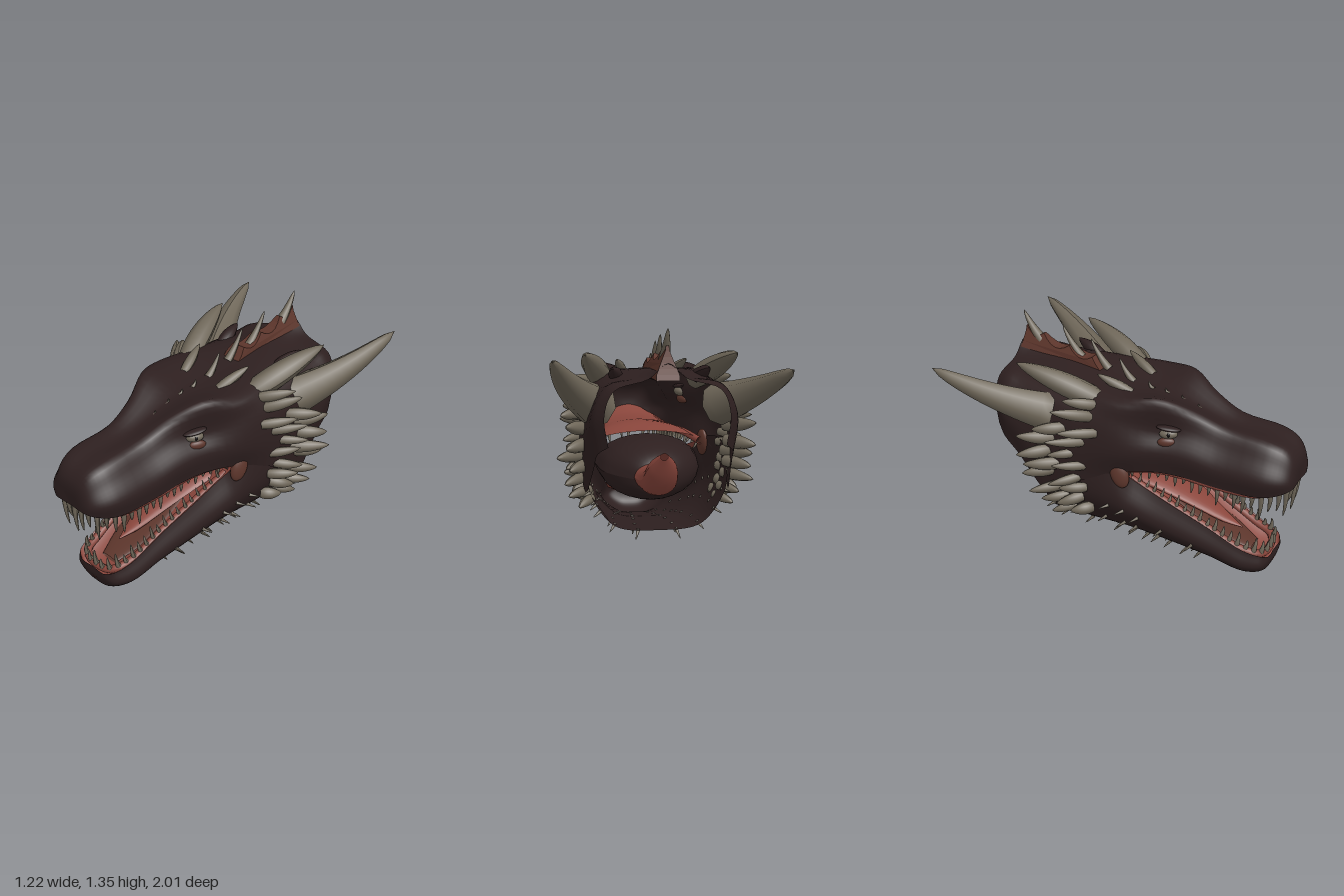
import * as THREE from 'three';

const V = (x, y, z) => new THREE.Vector3(x, y, z);
const mat = (name, color) => new THREE.MeshStandardMaterial({ name, color, side: THREE.DoubleSide });

// Half sections: z, then x,y pairs from the centre line out to the lip
const SKULL = [
  [1.0, 0, 0.78, 0.08, 0.77, 0.12, 0.72, 0.14, 0.68, 0.13, 0.64],
  [0.95, 0, 0.85, 0.11, 0.845, 0.16, 0.77, 0.2, 0.69, 0.18, 0.62],
  [0.85, 0, 0.885, 0.13, 0.885, 0.19, 0.8, 0.24, 0.7, 0.22, 0.6],
  [0.6, 0, 0.9, 0.13, 0.92, 0.19, 0.83, 0.25, 0.72, 0.24, 0.61],
  [0.42, 0, 0.95, 0.17, 0.995, 0.21, 0.88, 0.27, 0.76, 0.25, 0.63],
  [0.25, 0, 1.0, 0.26, 1.065, 0.255, 0.88, 0.3, 0.77, 0.28, 0.64],
  [0.05, 0, 1.02, 0.325, 1.05, 0.36, 0.93, 0.38, 0.75, 0.34, 0.62],
  [-0.2, 0, 1.08, 0.27, 1.065, 0.38, 0.96, 0.42, 0.74, 0.41, 0.53],
  [-0.4, 0, 1.11, 0.2, 1.085, 0.36, 0.99, 0.41, 0.74, 0.4, 0.42],
  [-0.6, 0, 1.13, 0.14, 1.085, 0.32, 1.03, 0.4, 0.83, 0.37, 0.6],
  [-0.7, 0, 1.15, 0.11, 1.09, 0.3, 1.05, 0.38, 0.9, 0.36, 0.69],
  [-0.77, 0, 1.17, 0.1, 1.09, 0.28, 1.03, 0.33, 0.9, 0.31, 0.74],
];
const JAW = [
  [0.88, 0, 0.1, 0.05, 0.1, 0.11, 0.13, 0.1, 0.16],
  [0.85, 0, 0.04, 0.08, 0.05, 0.16, 0.11, 0.15, 0.18],
  [0.75, 0, 0.005, 0.09, 0.02, 0.2, 0.11, 0.18, 0.21],
  [0.55, 0, 0.06, 0.11, 0.07, 0.23, 0.18, 0.2, 0.31],
  [0.3, 0, 0.11, 0.15, 0.13, 0.28, 0.27, 0.24, 0.44],
  [0.12, 0, 0.145, 0.18, 0.17, 0.33, 0.36, 0.28, 0.55],
  [0.03, 0, 0.16, 0.2, 0.19, 0.36, 0.4, 0.34, 0.64],
  [-0.2, 0, 0.18, 0.24, 0.22, 0.38, 0.42, 0.4, 0.66],
  [-0.43, 0, 0.2, 0.24, 0.23, 0.37, 0.4, 0.39, 0.5],
];
const lip = (s) => [s[s.length - 2], s[s.length - 1]];

// Mirror a half section; dir 1 runs +x to -x
function section(s, dir) {
  const half = [];
  for (let i = 1; i < s.length; i += 2) half.push(V(dir * s[i], s[i + 1], s[0]));
  const other = half.slice(1).map((p) => V(-p.x, p.y, p.z));
  return [...half.reverse(), ...other];
}

// Smooth surface through rows of points: at(u) gives the cross curve
function surface(rows) {
  const cols = rows[0].map((_, j) => new THREE.CatmullRomCurve3(rows.map((r) => r[j])));
  return (u) => new THREE.CatmullRomCurve3(cols.map((c) => c.getPoint(u)));
}

function loft(at, nu = 48, nv = 40) {
  const pos = [], idx = [];
  for (let i = 0; i <= nu; i++) {
    for (const p of at(i / nu).getPoints(nv)) pos.push(p.x, p.y, p.z);
    for (let j = 0; i < nu && j < nv; j++) {
      const a = i * (nv + 1) + j, b = a + nv + 1;
      idx.push(a, b, a + 1, a + 1, b, b + 1);
    }
  }
  const g = new THREE.BufferGeometry();
  g.setAttribute('position', new THREE.Float32BufferAttribute(pos, 3));
  g.setIndex(idx);
  g.computeVertexNormals();
  return g;
}

// Body of elliptical rings: each ring is z, y, half width, half height
function ringLoft(rings) {
  return loft(surface(rings.map(([z, y, w, h]) => Array.from({ length: 13 }, (_, k) => {
    const a = (k / 12) * Math.PI * 2;
    return V(w * Math.cos(a), y + h * Math.sin(a), z);
  }))), 24, 24);
}

// Tapered, bent horn with a rounded tip; leaf makes it swell in the middle
function hornGeometry(base, tip, r, bend = V(0, 0, 0), leaf = false) {
  const mid = base.clone().lerp(tip, 0.5).add(bend);
  const curve = new THREE.QuadraticBezierCurve3(base, mid, tip);
  const n = 12, sides = 8, g = new THREE.TubeGeometry(curve, n, r, sides);
  const p = g.attributes.position, v = V(0, 0, 0);
  for (let i = 0; i <= n; i++) {
    const t = i / n, c = curve.getPointAt(t);
    const k = leaf ? Math.max(0, Math.sin(Math.PI * (0.28 + 0.72 * t))) ** 0.7
      : Math.sqrt(1 - t ** 10) * (1 - 0.78 * t);
    for (let j = 0; j <= sides; j++) {
      const q = i * (sides + 1) + j;
      v.fromBufferAttribute(p, q).sub(c).multiplyScalar(k).add(c);
      p.setXYZ(q, v.x, v.y, v.z);
    }
  }
  g.computeVertexNormals();
  return g;
}

export function createModel() {
  const root = new THREE.Group();
  root.name = 'dragonHead';
  const hide = mat('darkHide', 0x2d1f1f), horn = mat('horn', 0x6e6658);
  const flesh = mat('flesh', 0x8a463c), patch = mat('rustSkin', 0x5c352b), dark = mat('pupil', 0x0e0b0b);
  const add = (name, geo, m, parent = root) => {
    const mesh = new THREE.Mesh(geo, m);
    mesh.name = name;
    parent.add(mesh);
    return mesh;
  };
  const group = (name) => {
    const g = new THREE.Group();
    g.name = name;
    root.add(g);
    return g;
  };

  // Skull and lower jaw shells, closed at the nose and chin, open at the neck
  const shell = (st, dir) => {
    const rows = st.map((s) => section(s, dir));
    rows.unshift(rows[0].map(() => V(0, lip(st[0])[1], st[0][0])));
    return surface(rows);
  };
  const jawAt = shell(JAW, -1);
  add('skull', loft(shell(SKULL, 1)), hide);
  add('lowerJaw', loft(jawAt), hide);

  // Mouth lining, dark gullet and tongue with its root showing at the neck
  const lining = (st, rise) => loft(surface(st.filter((s) => s[0] > 0).map((s) => {
    const [x, y] = lip(s);
    return [V(x, y, s[0]), V(x * 0.7, y + rise * 0.6, s[0]), V(0, y + rise, s[0]),
      V(-x * 0.7, y + rise * 0.6, s[0]), V(-x, y, s[0])];
  })), 24, 16);
  add('palate', lining(SKULL, 0.06), flesh);
  add('mouthFloor', lining(JAW, -0.07), flesh);
  add('mouthBed', ringLoft([[0.76, 0.155, 0.06, 0.012], [0.6, 0.23, 0.11, 0.012], [0.4, 0.335, 0.12, 0.012],
    [0.2, 0.445, 0.1, 0.01]]), patch);
  add('gullet', ringLoft([[0.08, 0.49, 0.31, 0.17], [-0.15, 0.48, 0.27, 0.17], [-0.32, 0.47, 0.12, 0.1],
    [-0.36, 0.47, 0.01, 0.01]]), hide);
  add('tongue', ringLoft([[0.68, 0.25, 0.004, 0.004], [0.58, 0.285, 0.045, 0.02], [0.4, 0.375, 0.105, 0.03],
    [0.15, 0.49, 0.185, 0.04], [-0.15, 0.51, 0.18, 0.05], [-0.32, 0.48, 0.12, 0.08], [-0.48, 0.5, 0.1, 0.09],
    [-0.58, 0.58, 0.08, 0.07], [-0.65, 0.66, 0.02, 0.02]]), flesh);

  // Gums follow the lips and carry the teeth
  const gumCurve = (st) => {
    const side = st.filter((s) => s[0] > 0.1 || (st === SKULL && s[0] > 0))
      .map((s) => V(lip(s)[0] - 0.025, lip(s)[1], s[0] - 0.04));
    return new THREE.CatmullRomCurve3([...side.slice().reverse(), ...side.map((p) => V(-p.x, p.y, p.z))]);
  };
  const jaws = [['upper', SKULL, 44, -1, 0.045, 0.145], ['lower', JAW, 38, 1, 0.05, 0.04]];
  for (const [name, st, n, dir, short, extra] of jaws) {
    const curve = gumCurve(st), teeth = group(name + 'Teeth');
    add(name + 'Gum', new THREE.TubeGeometry(curve, 60, 0.023, 8), flesh);
    for (let i = 1; i < n; i++) {
      const u = i / n, front = 1 - Math.abs(2 * u - 1);
      const len = (short + extra * front ** 1.3) * (0.85 + 0.25 * Math.sin(i * 2.4));
      const p = curve.getPointAt(u);
      const tip = p.clone().add(V(-p.x * 0.08, dir * (len + 0.015), dir > 0 ? 0.015 : -0.015));
      add('tooth', hornGeometry(p, tip, 0.012 + 0.008 * front, V(p.x * 0.08, 0, 0.015)), horn, teeth);
    }
  }

  // Parts mirrored on both sides
  const cheeks = group('cheekSpikes'), chin = group('chinSpikes'), horns = group('horns'), eyes = group('eyes');
  const CHEEK = [ // y, z, length
    [1.0, -0.1, 0.18], [0.94, -0.11, 0.2], [0.86, -0.07, 0.2], [0.85, -0.27, 0.18], [0.79, -0.14, 0.2],
    [0.77, -0.34, 0.2], [0.71, -0.2, 0.16], [0.69, -0.37, 0.17], [0.64, -0.14, 0.18], [0.62, -0.3, 0.21],
    [0.56, -0.18, 0.16], [0.57, -0.35, 0.17], [0.5, -0.14, 0.15], [0.49, -0.28, 0.18], [0.43, -0.17, 0.14],
    [0.41, -0.27, 0.15], [0.36, -0.12, 0.11], [0.35, -0.23, 0.13],
  ];
  for (const s of [1, -1]) {
    // Crown horns
    add('greatHorn', hornGeometry(V(s * 0.335, 0.9, -0.4), V(s * 0.6, 1.185 + s * 0.03, -0.985 + s * 0.015),
      0.12, V(s * 0.06, -0.02, 0.02)), horn, horns);
    add('browHorn', hornGeometry(V(s * 0.26, 1.0, -0.1), V(s * 0.41, 1.2, -0.56), 0.068,
      V(s * 0.02, 0.02, 0), true), horn, horns);
    add('smallHorn', hornGeometry(V(s * 0.14, 1.03, 0.03), V(s * 0.2, 1.13, -0.16), 0.03,
      V(0, 0, 0), true), horn, horns);
    add('crownBump', hornGeometry(V(s * 0.22, 1.05, -0.36), V(s * 0.26, 1.12, -0.54), 0.04,
      V(0, 0, 0), true), hide, horns);

    // Leaf-shaped cheek spikes
    CHEEK.forEach(([y, z, len], i) => {
      const x = y > 0.9 ? 0.375 - (y - 0.9) * 0.5 : y < 0.45 ? 0.38 - (0.45 - y) * 0.3 : 0.385;
      const out = 0.74 + 0.12 * Math.sin(i * 2.1 + s);
      const tip = V(s * (x + len * out), y + len * ((y - 0.62) * 0.6 + 0.12 * Math.sin(i * 1.7)), z - len * 0.85);
      const r = 0.034 + 0.006 * Math.sin(i * 2.9);
      add('cheekSpike', hornGeometry(V(s * x, y, z), tip, r, V(s * 0.015, 0, 0), true), horn, cheeks);
    });

    // Small spikes under the jaw
    [0.17, 0.25, 0.34, 0.43].forEach((v, row) => {
      for (let i = 0; i < 7; i++) {
        const u = 0.48 + 0.08 * i + 0.02 * (row % 2);
        const p = jawAt(u).getPoint(s < 0 ? v : 1 - v);
        const d = V(p.x, p.y - 0.42, 0).normalize().multiplyScalar(0.045).add(V(0, -0.01, -0.04));
        add('chinSpike', hornGeometry(p, p.clone().add(d), 0.011), horn, chin);
      }
    });

    // Eye with pupil, rust patch below and brow lid above
    const eye = new THREE.Group();
    eye.name = 'eye';
    eye.position.set(s * 0.242, 0.878, 0.31);
    eye.rotation.y = s * 1.15;
    eyes.add(eye);
    const ball = (name, m, x, y, z, sx, sy, sz) => {
      const b = add(name, new THREE.SphereGeometry(1, 18, 12), m, eye);
      b.position.set(x, y, z);
      b.scale.set(sx, sy, sz);
      return b;
    };
    ball('eyeball', horn, 0, 0, 0, 0.052, 0.028, 0.03);
    ball('pupil', dark, 0, 0.002, 0.026, 0.011, 0.013, 0.006);
    ball('upperLid', hide, 0, 0.034, 0.002, 0.07, 0.014, 0.032).rotation.z = s * 0.15;
    ball('eyePatch', patch, s * 0.01, -0.047, 0.01, 0.052, 0.028, 0.022);

    // Skin stretched at the corner of the mouth, tipped back at the top
    const corner = add('mouthCorner', new THREE.SphereGeometry(1, 18, 12), patch);
    corner.position.set(s * 0.335, 0.605, 0.05);
    corner.rotation.set(-0.35, s * -0.35, 0);
    corner.scale.set(0.026, 0.085, 0.052);
  }

  // Rust crest along the back of the crown, flaring towards its foot
  const fin = new THREE.Shape();
  fin.moveTo(0.2, 1.06);
  for (const [z, y, cz, cy] of [[0.28, 1.15, 0.24, 1.11], [0.44, 1.19, 0.36, 1.1], [0.62, 1.23, 0.53, 1.12],
    [0.74, 1.26, 0.69, 1.18], [0.775, 1.08, 0.75, 1.17]]) fin.quadraticCurveTo(cz, cy, z, y);
  const finGeo = new THREE.ExtrudeGeometry(fin, { depth: 1, bevelEnabled: false, curveSegments: 6 });
  finGeo.translate(0, 0, -0.5);
  const fp = finGeo.attributes.position;
  for (let i = 0; i < fp.count; i++) {
    fp.setZ(i, fp.getZ(i) * THREE.MathUtils.clamp((1.26 - fp.getY(i)) * 0.8, 0.015, 0.12));
  }
  finGeo.rotateY(Math.PI / 2);
  finGeo.computeVertexNormals();
  add('crest', finGeo, patch);

  // Spikes on the centre line: z, y, height, radius
  const ridge = group('ridgeSpikes');
  for (const [z, y, h, r] of [[0.4, 0.95, 0.025, 0.01], [0.3, 0.98, 0.03, 0.01], [0.2, 1.0, 0.035, 0.012],
    [0.1, 1.01, 0.045, 0.014], [-0.03, 1.03, 0.13, 0.024], [-0.19, 1.08, 0.17, 0.026],
    [-0.37, 1.12, 0.18, 0.028], [-0.64, 1.18, 0.17, 0.034]]) {
    add('ridgeSpike', hornGeometry(V(0, y, z), V(0, y + h, z - h * 0.7), r, V(0, -0.01, -0.015)), horn, ridge);
  }
  return root;
}
